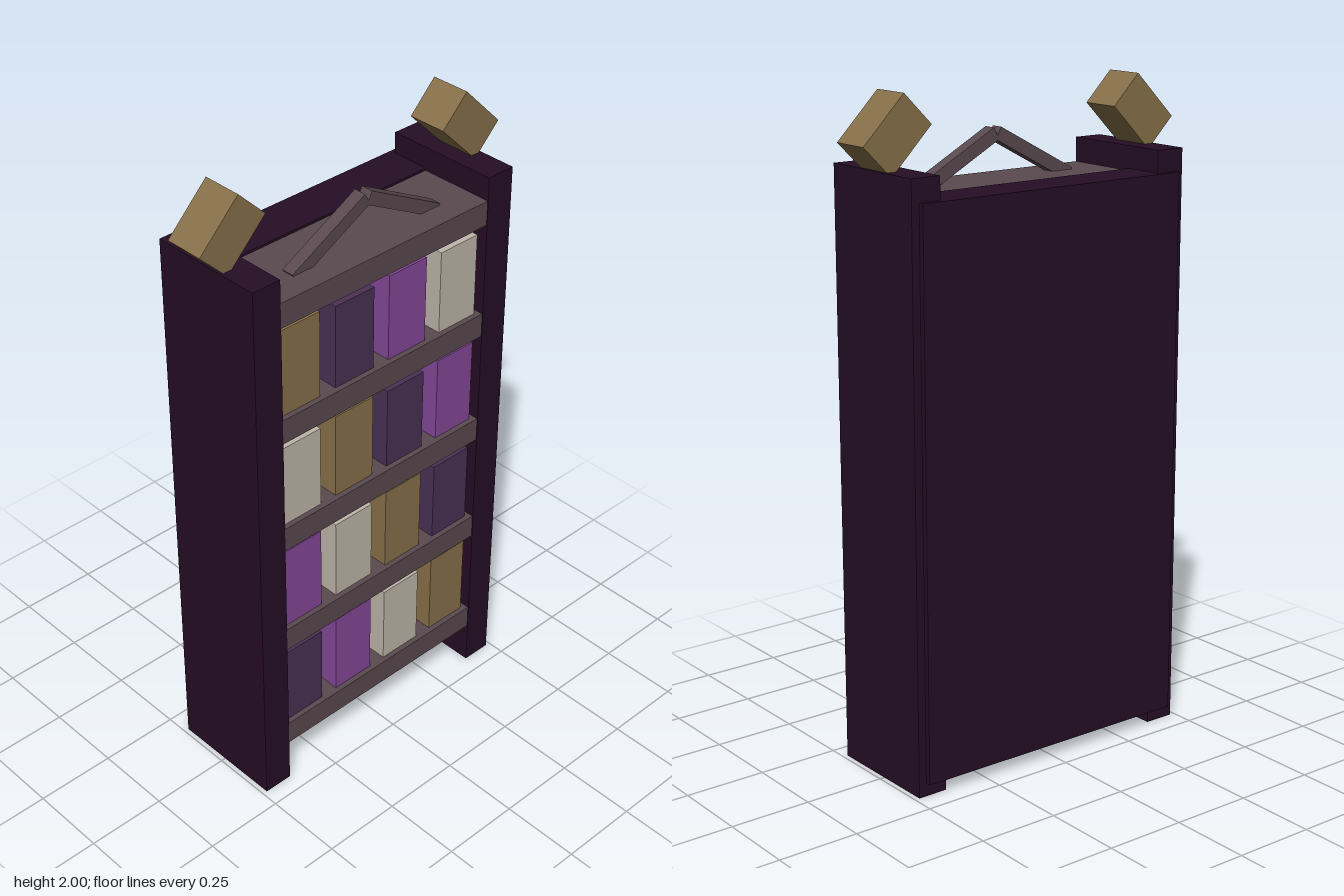
import * as THREE from 'three';

const mat = (name, color) => {
  const m = new THREE.MeshStandardMaterial({ color });
  m.name = name;
  return m;
};

export function createModel() {
  const group = new THREE.Group();
  group.name = 'bookcase';

  const darkWood = mat('dark wood', 0x250e25);
  const greyWood = mat('grey wood', 0x5a4a50);
  const tan = mat('tan', 0x88714a);
  const plum = mat('plum', 0x4a3156);
  const violet = mat('violet', 0x844899);
  const cream = mat('cream', 0xbfb6a9);

  // Box given by its limits on each axis
  const box = (name, material, [x0, x1], [y0, y1], [z0, z1]) => {
    const mesh = new THREE.Mesh(new THREE.BoxGeometry(x1 - x0, y1 - y0, z1 - z0), material);
    mesh.position.set((x0 + x1) / 2, (y0 + y1) / 2, (z0 + z1) / 2);
    mesh.name = name;
    group.add(mesh);
    return mesh;
  };

  // Box given by centre and size, tilted about z
  const tilted = (name, material, size, pos, angle) => {
    const mesh = new THREE.Mesh(new THREE.BoxGeometry(...size), material);
    mesh.position.set(...pos);
    mesh.rotation.z = angle;
    mesh.name = name;
    group.add(mesh);
  };

  // Back board and the pale plank on its front
  box('backBoard', darkWood, [-0.46, 0.46], [0.04, 1.723], [-0.195, -0.052]);
  box('palePlank', greyWood, [-0.39, -0.185], [0.04, 1.715], [-0.053, -0.047]);

  // Side posts, tilted blocks on top and the gable bars
  for (const s of [-1, 1]) {
    const side = s > 0 ? 'left' : 'right';
    const post = box(side + 'Post', darkWood, [-0.0475, 0.0475], [0, 1.79], [-0.178, 0.194]);
    post.position.x = s * 0.4375;
    tilted(side + 'TopBlock', tan, [0.191, 0.128, 0.126], [s * 0.44, 1.8875, 0.008], -s * Math.PI / 4);
    tilted(side + 'GableBar', greyWood, [0.3, 0.04, 0.04], [s * 0.136, 1.774, 0.096], -s * 0.49);
  }

  // Shelves
  const shelfTops = [0.22, 0.594, 0.968, 1.342, 1.716];
  shelfTops.forEach((y, i) =>
    box('shelf' + (i + 1), greyWood, [-0.392, 0.392], [y - 0.078, y], [-0.055, 0.192]));

  // Books: four per shelf, the colours shifting by one place on each row
  const cycle = [plum, violet, cream, tan];
  const heights = [0.265, 0.275];
  for (let row = 0; row < 4; row++) {
    for (let col = 0; col < 4; col++) {
      const x = -0.308 + col * 0.2027;
      const y = shelfTops[row];
      const h = heights[(row + col) % 2];
      box(`book${row + 1}_${col + 1}`, cycle[(col + row) % 4],
        [x - 0.0725, x + 0.0725], [y, y + h], [-0.03, 0.175]);
    }
  }

  return group;
}
